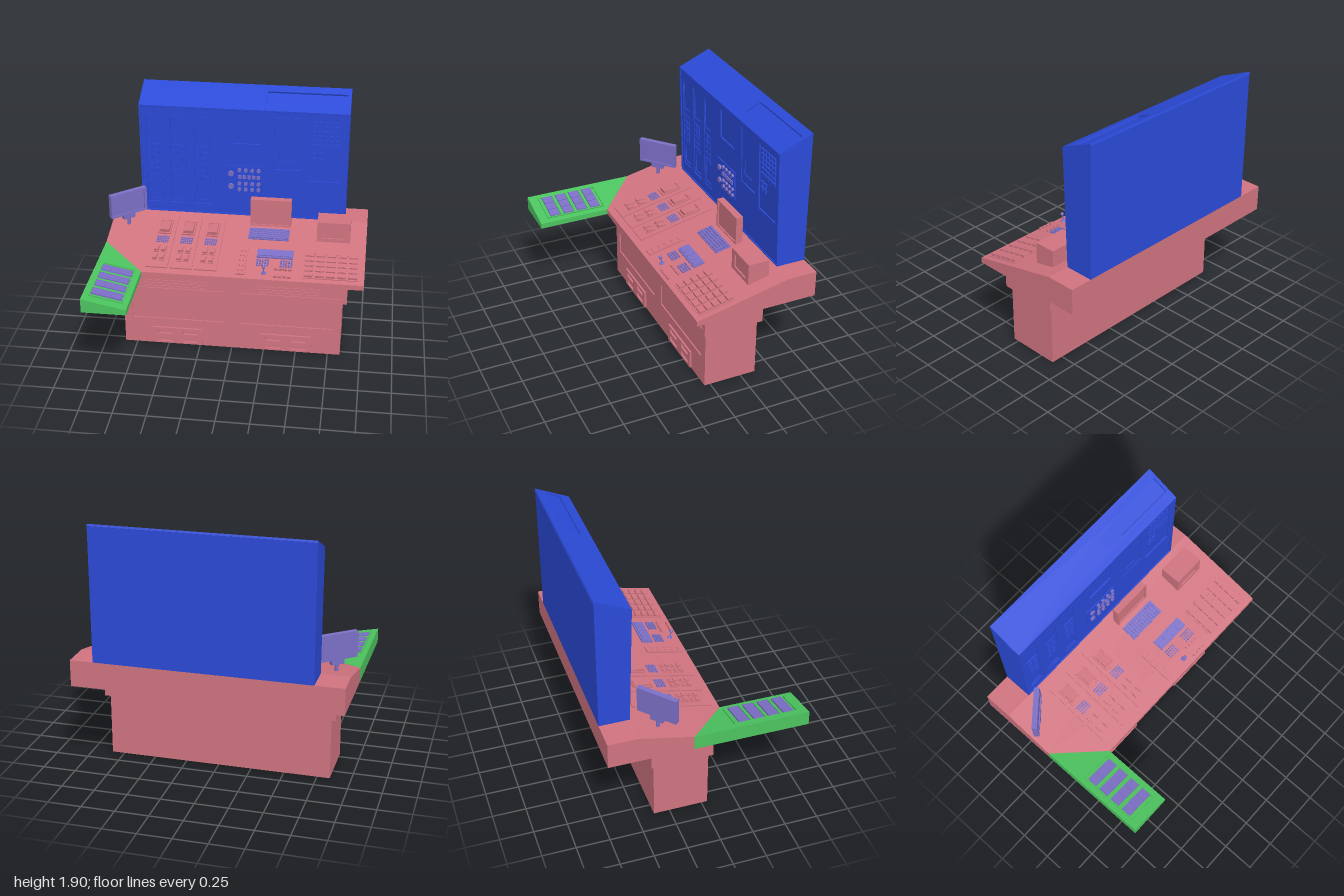
import * as THREE from 'three';
import { mergeGeometries } from 'three/addons/utils/BufferGeometryUtils.js';

const paint = (color) => new THREE.MeshStandardMaterial({ color, flatShading: true });
const red = paint(0xd07480), blue = paint(0x2b4ad8), green = paint(0x4cc45f), violet = paint(0x7c6fc6);
const PITCH = Math.atan(0.16 / 0.71); // slope of the desk top
const deskY = (z) => 0.72 + (0.19 - z) * 0.2254;
const trayY = (x) => 0.722 - (x + 0.67) * 0.206;

function add(parent, name, geo, mat) {
  const mesh = new THREE.Mesh(geo, mat);
  mesh.name = name;
  parent.add(mesh);
  return mesh;
}

// A surface to mount parts on: local y is its normal
function surface(parent, name, pos, rx = 0, rz = 0) {
  const g = new THREE.Group();
  g.name = name;
  g.position.set(...pos);
  g.rotation.set(rx, 0, rz);
  parent.add(g);
  return g;
}

// Box geometry from its limits
function boxGeo([x0, x1, z0, z1], y0, y1) {
  return new THREE.BoxGeometry(x1 - x0, y1 - y0, z1 - z0)
    .translate((x0 + x1) / 2, (y0 + y1) / 2, (z0 + z1) / 2);
}
const slab = (parent, name, mat, rect, y0, y1) => add(parent, name, boxGeo(rect, y0, y1), mat);

// Rows of equal keys filling a rectangle
function keys(parent, name, mat, [x0, x1, z0, z1], nx, nz, y0, y1, fill = 0.7, round = false) {
  const list = [], sx = (x1 - x0) / nx, sz = (z1 - z0) / nz;
  for (let i = 0; i < nx; i++) for (let j = 0; j < nz; j++) {
    const x = x0 + (i + 0.5) * sx, z = z0 + (j + 0.5) * sz;
    const a = sx * fill / 2, b = sz * fill / 2, r = Math.min(a, b);
    list.push(round
      ? new THREE.CylinderGeometry(r, r, y1 - y0, 10).translate(x, (y0 + y1) / 2, z)
      : boxGeo([x - a, x + a, z - b, z + b], y0, y1));
  }
  return add(parent, name, mergeGeometries(list), mat);
}

// Flat plate with rectangular openings
function plate(parent, name, mat, rect, y0, y1, holes = []) {
  const pts = ([x0, x1, z0, z1]) => [[x0, -z1], [x1, -z1], [x1, -z0], [x0, -z0]].map((p) => new THREE.Vector2(...p));
  const shape = new THREE.Shape(pts(rect));
  shape.holes = holes.map((h) => new THREE.Path(pts(h).reverse()));
  const geo = new THREE.ExtrudeGeometry(shape, { depth: y1 - y0, bevelEnabled: false });
  return add(parent, name, geo.rotateX(-Math.PI / 2).translate(0, y0, 0), mat);
}

// Upright prism over a plan outline whose top follows a height rule
function prism(parent, name, mat, outline, bottom, top) {
  const shape = new THREE.Shape(outline.map(([x, z]) => new THREE.Vector2(x, -z)));
  const geo = new THREE.ExtrudeGeometry(shape, { depth: 1, bevelEnabled: false }).rotateX(-Math.PI / 2);
  const p = geo.attributes.position;
  for (let i = 0; i < p.count; i++) p.setY(i, p.getY(i) > 0.5 ? top(p.getX(i), p.getZ(i)) : bottom);
  geo.computeVertexNormals();
  return add(parent, name, geo, mat);
}

function buildPedestal(root) {
  slab(root, 'base', red, [-0.845, 0.845, -0.37, 0.035], 0, 0.475);
  slab(root, 'apron', red, [-0.88, 0.88, -0.395, 0.05], 0.475, 0.68);
  // Front faces: local z is minus height
  const face = surface(root, 'pedestalFront', [0, 0, 0], Math.PI / 2);
  plate(face, 'basePanel', red, [-0.845, 0.845, -0.475, 0], 0.035, 0.045,
    [[-0.78, -0.06, -0.405, -0.225], [0.06, 0.78, -0.405, -0.225]]);
  plate(face, 'apronPanel', red, [-0.88, 0.88, -0.68, -0.475], 0.05, 0.07,
    [[-0.84, -0.04, -0.64, -0.515], [0.04, 0.84, -0.64, -0.515]]);
  for (const s of [-1, 1]) {
    const cx = s * 0.44, vx = s * 0.425;
    keys(face, 'louvres', red, [cx - 0.4, cx + 0.4, -0.64, -0.515], 1, 5, 0.05, 0.063, 1)
      .scale.set(1, 1, 1);
    keys(face, 'louvreRibs', red, [cx - 0.4, cx + 0.4, -0.64, -0.515], 1, 5, 0.06, 0.068, 0.6);
    const holes = [];
    for (const dx of [-0.1, 0.1]) for (const z of [-0.115, -0.045])
      holes.push([vx + dx - 0.057, vx + dx + 0.057, z - 0.019, z + 0.019]);
    plate(face, 'ventGrille', red, [vx - 0.195, vx + 0.195, -0.15, -0.01], 0.045, 0.06, holes);
  }
}

function buildCabinet(root) {
  const profile = [[0.54, 0.88], [0.745, 0.88], [0.745, 1.885], [0.51, 1.775]];
  const body = new THREE.ExtrudeGeometry(new THREE.Shape(profile.map((p) => new THREE.Vector2(...p))),
    { depth: 1.61, bevelEnabled: false });
  add(root, 'cabinetBody', body.rotateY(Math.PI / 2).translate(-0.785, 0, 0), blue);
  const roof = surface(root, 'cabinetRoof', [0, 1.79, -0.49], Math.atan(0.11 / 0.255));
  plate(roof, 'roofPlate', blue, [-0.785, 0.825, -0.276, 0], -0.016, 0, [[0.19, 0.8, -0.207, -0.082]]);

  // Leaning front wall: local z is minus height
  const wall = surface(root, 'cabinetFront', [0, 0, -0.549], Math.PI / 2 + 0.033);
  plate(wall, 'frontRim', blue, [-0.785, 0.825, -1.79, -0.88], -0.022, 0, [[-0.77, 0.81, -1.78, -0.89]]);
  const strips = [-0.677, -0.49, -0.302];
  const holes = strips.map((x) => [x - 0.062, x + 0.062, -1.71, -0.96]);
  holes.push([-0.08, 0.147, -1.73, -1.5], [0.255, 0.47, -1.74, -1.295], [0.525, 0.775, -1.735, -1.21]);
  plate(wall, 'frontPanel', blue, [-0.775, 0.815, -1.785, -0.885], -0.022, -0.008, holes);
  for (const x of strips) {
    plate(wall, 'rackFace', blue, [x - 0.06, x + 0.06, -1.705, -0.965], -0.022, -0.013,
      [[x - 0.052, x + 0.052, -1.675, -1.46], [x - 0.045, x + 0.045, -1.13, -0.99]]);
    keys(wall, 'rackButtons', blue, [x - 0.045, x + 0.045, -1.42, -1.16], 2, 5, -0.014, -0.006);
  }
  plate(wall, 'meterFace', blue, [0.26, 0.465, -1.735, -1.3], -0.022, -0.013, [[0.3, 0.41, -1.51, -1.37]]);
  keys(wall, 'wallKeypad', blue, [0.545, 0.76, -1.72, -1.49], 5, 6, -0.021, -0.008);
  keys(wall, 'wallButtons', blue, [0.545, 0.635, -1.46, -1.365], 2, 2, -0.021, -0.008);
  slab(wall, 'switchPanel', blue, [-0.125, 0.165, -1.315, -1.085], -0.01, 0);
  keys(wall, 'dials', violet, [-0.1, -0.05, -1.305, -1.085], 1, 2, 0, 0.015, 0.9, true);
  slab(wall, 'toggleStrip', blue, [-0.03, 0.162, -1.25, -1.2], 0, 0.005);
  keys(wall, 'toggles', violet, [-0.025, 0.158, -1.245, -1.205], 5, 1, 0.005, 0.015);
  keys(wall, 'upperKnobs', violet, [-0.035, 0.165, -1.31, -1.255], 4, 1, 0, 0.015, 0.6, true);
  keys(wall, 'lowerKnobs', violet, [-0.035, 0.165, -1.19, -1.09], 4, 2, 0, 0.015, 0.6, true);
}

function buildDesk(root) {
  prism(root, 'deskBack', red, [[-1, -0.745], [1, -0.745], [1, -0.52], [-1, -0.52]], 0.68, () => 0.88);
  prism(root, 'deskFront', red, [[-1, -0.52], [1, -0.52], [1, 0.19], [-0.67, 0.19], [-1, -0.12]],
    0.68, (x, z) => deskY(z));

  const top = surface(root, 'deskControls', [0, deskY(0), 0], PITCH);
  top.scale.z = 1 / Math.cos(PITCH); // local z then follows the plan
  // Three lever panels
  for (const x of [-0.565, -0.378, -0.19]) {
    slab(top, 'leverPanel', red, [x - 0.084, x + 0.084, -0.46, 0.135], -0.01, 0.01);
    plate(top, 'leverFrame', red, [x - 0.05, x + 0.05, -0.39, -0.235], 0.01, 0.022,
      [[x - 0.04, x + 0.04, -0.38, -0.245]]);
    const lever = slab(top, 'lever', red, [x - 0.037, x + 0.037, -0.375, -0.255], 0.01, 0.04);
    const p = lever.geometry.attributes.position;
    for (let i = 0; i < p.count; i++) if (p.getY(i) > 0.03 && p.getZ(i) < -0.3) p.setY(i, 0.022);
    lever.geometry.computeVertexNormals();
    keys(top, 'panelKeypad', violet, [x - 0.048, x + 0.048, -0.21, -0.135], 6, 4, 0.01, 0.018, 0.65);
    for (const z of [-0.065, 0.027]) for (const dx of [-0.028, 0.028]) {
      slab(top, 'rockerBase', red, [x + dx - 0.021, x + dx + 0.021, z - 0.038, z + 0.038], 0.01, 0.016);
      slab(top, 'rockerBack', red, [x + dx - 0.016, x + dx + 0.016, z - 0.03, z - 0.004], 0.016, 0.024);
      slab(top, 'rockerFront', red, [x + dx - 0.016, x + dx + 0.016, z - 0.004, z + 0.03], 0.016, 0.034);
    }
  }
  // Keyboard and central controls
  slab(top, 'keyboard', violet, [0.09, 0.405, -0.367, -0.245], 0, 0.008);
  keys(top, 'keyboardKeys', violet, [0.095, 0.4, -0.362, -0.25], 12, 5, 0.008, 0.02, 0.75);
  slab(top, 'sideStrip', red, [0.038, 0.106, -0.132, 0.155], -0.005, 0.012);
  keys(top, 'sideStripButtons', red, [0.045, 0.1, -0.12, 0.145], 2, 5, 0.012, 0.022, 0.4, true);
  slab(top, 'displayStrip', violet, [0.18, 0.455, -0.13, -0.042], 0, 0.012);
  keys(top, 'displayTiles', violet, [0.185, 0.45, -0.12, -0.052], 4, 1, 0.012, 0.018, 0.9);
  for (const x of [0.18, 0.36])
    keys(top, 'smallKeypad', violet, [x, x + 0.1, -0.022, 0.052], 5, 4, 0, 0.014, 0.6);
  for (const z of [0.078, 0.157])
    keys(top, 'switches', red, [0.32, 0.46, z - 0.01, z + 0.01], 4, 1, 0, 0.02, 0.75);
  add(top, 'joystickBase', new THREE.CylinderGeometry(0.014, 0.02, 0.012, 12).translate(0.25, 0.006, 0.12), violet);
  add(top, 'joystickShaft', new THREE.CylinderGeometry(0.005, 0.005, 0.05, 8).translate(0.25, 0.03, 0.12), violet);
  add(top, 'joystickKnob', new THREE.SphereGeometry(0.013, 12, 8).translate(0.25, 0.06, 0.12), violet);
  // Large key block
  plate(top, 'keyBlockFrame', red, [0.535, 0.96, -0.13, 0.15], 0, 0.006, [[0.545, 0.95, -0.12, 0.14]]);
  keys(top, 'keyBlock', red, [0.54, 0.955, -0.125, 0.145], 5, 5, 0, 0.022, 0.78);
}

function buildScreen(root, name, [x0, x1, y0, y1], z0, z1, border) {
  const g = surface(root, name, [0, 0, 0], Math.PI / 2);
  slab(g, 'housing', red, [x0, x1, -y1, -y0], z0, z1 - 0.012);
  plate(g, 'bezel', red, [x0, x1, -y1, -y0], z1 - 0.012, z1,
    [[x0 + border, x1 - border, -y1 + border * 0.8, -y0 - border]]);
}

function buildSwivelMonitor(root) {
  const g = new THREE.Group();
  g.name = 'swivelMonitor';
  g.position.set(-0.865, 0, -0.343);
  g.rotation.y = 0.707;
  root.add(g);
  const up = surface(g, 'screen', [0, 0, 0], Math.PI / 2);
  slab(up, 'housing', violet, [-0.157, 0.157, -1.125, -0.93], -0.02, 0.01);
  plate(up, 'bezel', violet, [-0.157, 0.157, -1.125, -0.93], 0.01, 0.02, [[-0.135, 0.135, -1.11, -0.945]]);
  slab(g, 'bracket', violet, [-0.05, 0.05, -0.02, 0.02], 0.895, 0.93);
  add(g, 'stalk', new THREE.CylinderGeometry(0.014, 0.014, 0.08, 12).translate(0, 0.87, 0), violet);
}

function buildTray(root) {
  prism(root, 'sideTray', green, [[-1, -0.12], [-0.67, 0.19], [-0.67, 0.745], [-1, 0.745]], 0.68, trayY);
  const top = surface(root, 'trayControls', [-0.835, trayY(-0.835), 0], 0, -Math.atan(0.206));
  plate(top, 'trayFrame', green, [-0.125, 0.125, 0.195, 0.675], 0, 0.01, [[-0.117, 0.117, 0.205, 0.665]]);
  for (const z of [0.27, 0.382, 0.494, 0.606]) {
    slab(top, 'tileRow', violet, [-0.115, 0.115, z - 0.038, z + 0.038], 0, 0.008);
    keys(top, 'tiles', violet, [-0.115, 0.115, z - 0.042, z + 0.042], 3, 1, 0.006, 0.014, 0.92);
  }
  for (const z of [0.326, 0.438, 0.55]) slab(top, 'divider', green, [-0.12, 0.12, z - 0.01, z + 0.01], 0, 0.01);
}

export function createModel() {
  const root = new THREE.Group();
  root.name = 'controlConsole';
  buildPedestal(root);
  buildCabinet(root);
  buildDesk(root);
  buildScreen(root, 'deskMonitor', [0.09, 0.408, 0.85, 1.08], -0.46, -0.405, 0.015);
  buildScreen(root, 'boxMonitor', [0.62, 0.875, 0.81, 0.987], -0.43, -0.265, 0.042);
  buildSwivelMonitor(root);
  buildTray(root);
  return root;
}
